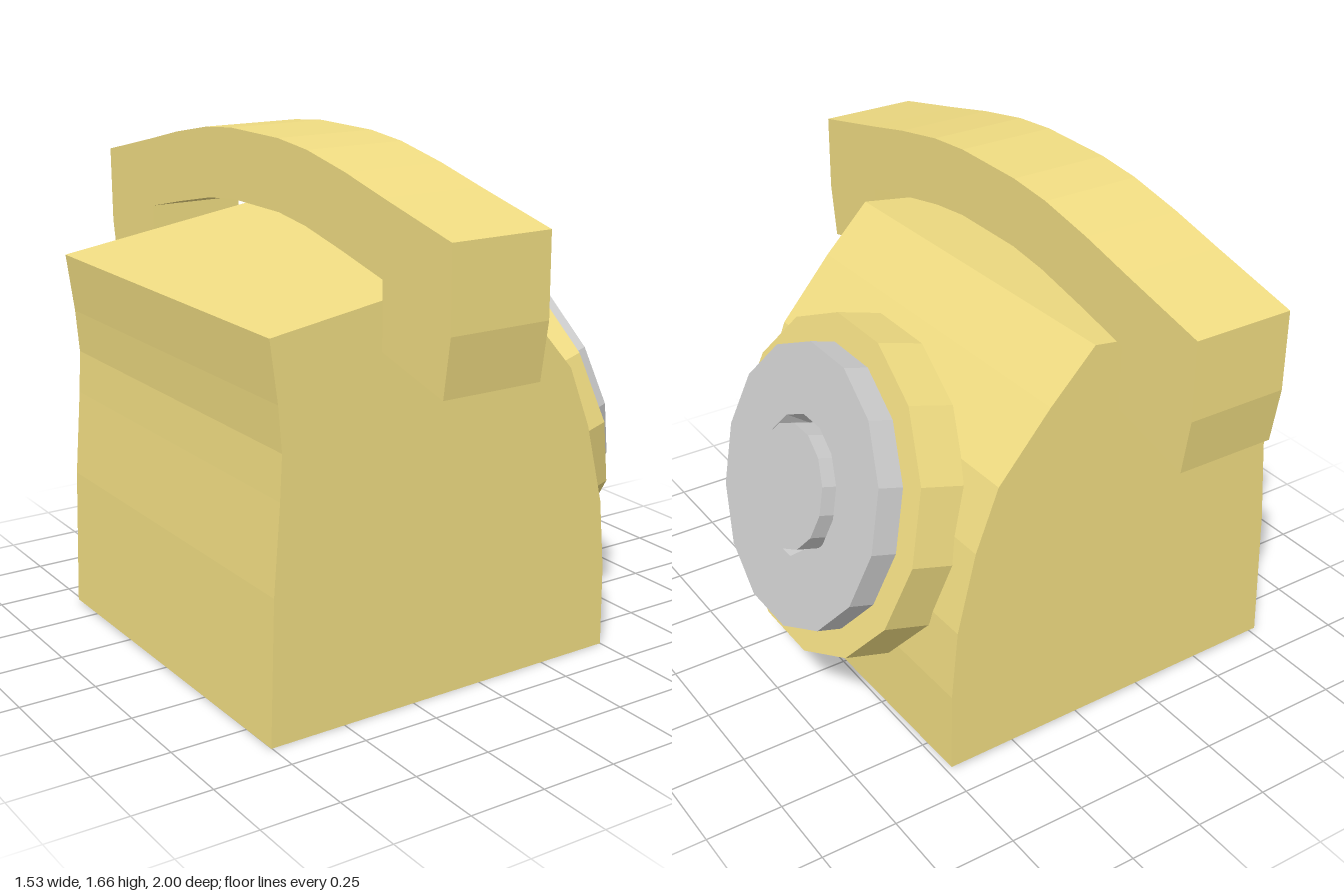
import * as THREE from 'three';

const yellow = new THREE.MeshStandardMaterial({ color: 0xf0dc82, flatShading: true });
const grey = new THREE.MeshStandardMaterial({ color: 0xcccccc, flatShading: true });

const toVectors = (points) => points.map(([x, y]) => new THREE.Vector2(x, y));

function named(name, geometry, material) {
  const mesh = new THREE.Mesh(geometry, material);
  mesh.name = name;
  return mesh;
}

// Straight extrusion of a side profile
function extrude(points, depth) {
  return new THREE.ExtrudeGeometry(new THREE.Shape(toVectors(points)), { depth, bevelEnabled: false });
}

// 14-sided turned part, profile given from the rear centre to the front centre
const turned = (points) => new THREE.LatheGeometry(toVectors(points), 14);

export function createModel() {
  const model = new THREE.Group();
  model.name = 'telephone';

  // Housing: sloping dial side, hollowed back, set very slightly askew
  const housing = extrude([
    [-0.76, 0], [0.492, 0], [0.488, 0.27], [0.465, 0.5], [0.40, 0.76], [0.32, 0.96],
    [0.14, 1.165], [-0.015, 1.32], [-0.75, 1.21], [-0.725, 1.02], [-0.714, 0.88],
    [-0.722, 0.74], [-0.745, 0.46],
  ], 1.27);
  housing.translate(0, 0, -0.635);
  const body = named('housing', housing, yellow);
  body.rotation.set(0.007, 0.012, 0);
  body.position.set(0, 0.0045, -0.003);
  model.add(body);

  // Handset: half profile from the middle to the end, mirrored for the other half
  const outer = [[0.14, 1.658], [0.30, 1.643], [0.50, 1.605], [0.69, 1.56], [1, 1.49], [1, 1.24], [0.97, 1.06]];
  const inner = [[0.685, 1.13], [0.685, 1.335], [0.485, 1.38], [0.29, 1.42], [0.14, 1.438]];
  const half = [...outer, ...inner];
  const mirrored = half.map(([z, y]) => [-z, y]).reverse();
  const handset = named('handset', extrude([...half, ...mirrored], 0.33), yellow);
  handset.rotation.y = -Math.PI / 2;
  handset.position.x = -0.073;
  model.add(handset);

  // Dial: stacked discs facing outward and tilted upward
  const dial = new THREE.Group();
  dial.name = 'dial';
  dial.add(named('dialBase', turned([[0, -0.16], [0.546, -0.16], [0.546, 0], [0, 0]]), yellow));
  // Finger plate with a narrow groove around its raised hub
  dial.add(named('dialPlate', turned([
    [0, -0.01], [0.4545, -0.01], [0.4545, 0.086], [0.227, 0.086],
    [0.2, 0.01], [0.2, 0.118], [0, 0.118],
  ]), grey));
  dial.position.set(0.5525, 0.725, 0);
  dial.rotation.z = -THREE.MathUtils.degToRad(73.35);
  model.add(dial);

  return model;
}
